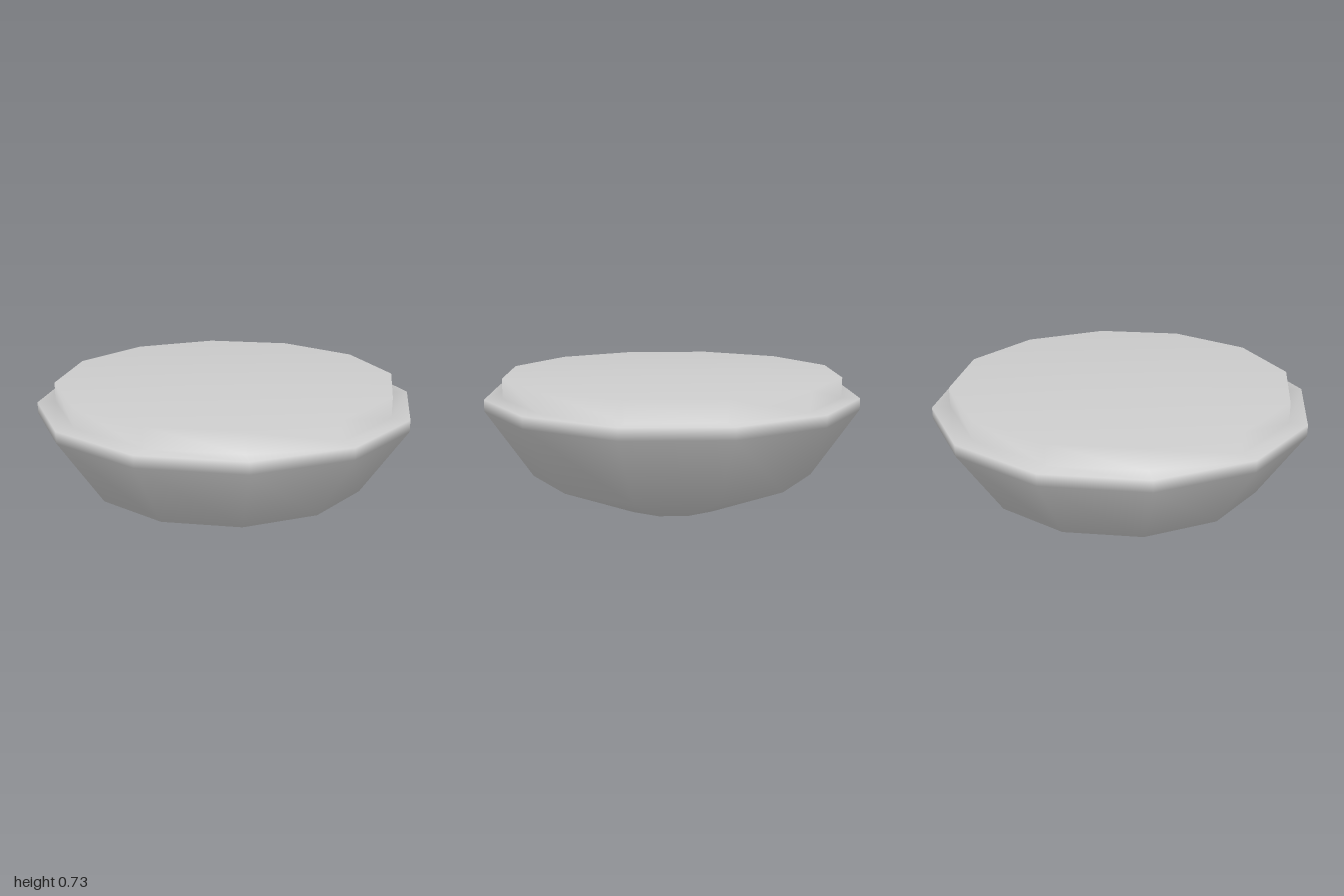
import * as THREE from 'three';

const SIDES = 12;

export function createModel() {
  const group = new THREE.Group();
  const material = new THREE.MeshStandardMaterial({ color: 0xcccccc });

  // Revolve a [radius, height] profile, running from the underside up
  const turn = (name, profile) => {
    const points = profile.map(([r, y]) => new THREE.Vector2(r, y));
    const mesh = new THREE.Mesh(new THREE.LatheGeometry(points, SIDES), material);
    mesh.name = name;
    group.add(mesh);
  };

  // Bowl with a shallow recess underneath, flared sides, a rim band,
  // a flat ledge and the raised disc that closes the top
  turn('bowlWithRaisedTop', [
    [0, 0.05], [0.285, 0.05], [0.295, 0],
    [0.76, 0.2], [1, 0.56], [1, 0.62],
    [0.905, 0.62], [0.905, 0.725], [0, 0.725],
  ]);

  return group;
}
